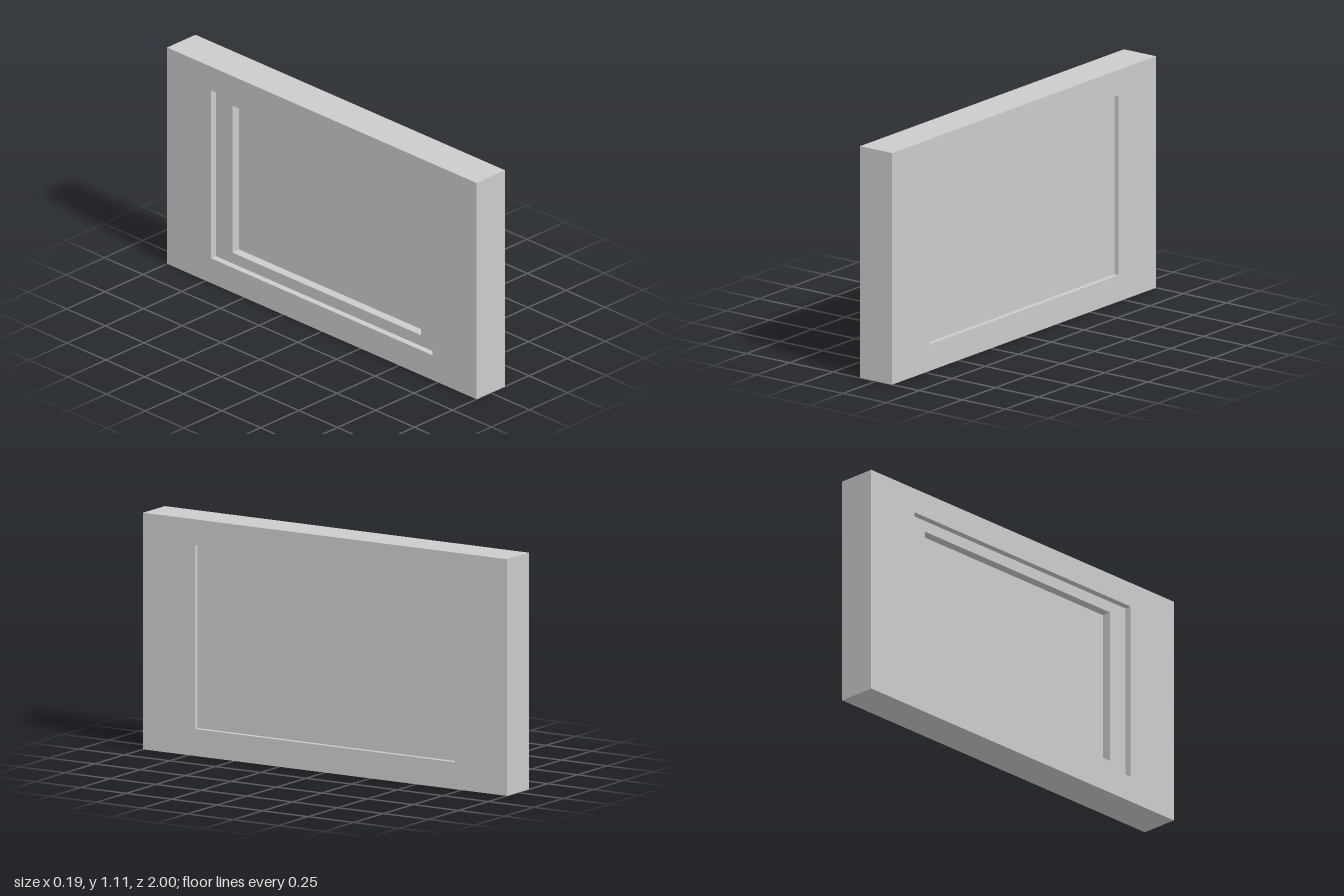
import * as THREE from 'three';

// Rectangular loops [x, half length in z, bottom y, top y], running from the
// floor of the +x recess, around the slab, to the floor of the stepped -x recess.
const loops = [
  [0.069, 0.715, 0.127, 0.99],  // shallow recess floor
  [0.093, 0.715, 0.127, 0.99],  // shallow recess rim
  [0.093, 1, 0, 1.11],          // slab edge, +x
  [-0.093, 1, 0, 1.11],         // slab edge, -x
  [-0.093, 0.715, 0.127, 0.99], // outer recess rim
  [-0.061, 0.715, 0.127, 0.99], // ledge, outer edge
  [-0.061, 0.61, 0.182, 0.936], // ledge, inner edge
  [-0.016, 0.61, 0.182, 0.936], // deep recess floor
];

function loftRectangles(rects) {
  const rings = rects.map(([x, z, y0, y1]) => [[x, y0, z], [x, y0, -z], [x, y1, -z], [x, y1, z]]);
  const pos = [];
  const quad = (a, b, c, d) => pos.push(...a, ...b, ...c, ...a, ...c, ...d);
  quad(...rings[0]);
  for (let k = 0; k < rings.length - 1; k++) {
    const a = rings[k], b = rings[k + 1];
    for (let i = 0; i < 4; i++) {
      const j = (i + 1) % 4;
      quad(b[i], b[j], a[j], a[i]);
    }
  }
  quad(...[...rings[rings.length - 1]].reverse());
  const geo = new THREE.BufferGeometry();
  geo.setAttribute('position', new THREE.Float32BufferAttribute(pos, 3));
  geo.computeVertexNormals();
  return geo;
}

export function createModel() {
  const group = new THREE.Group();
  group.name = 'recessedPanel';
  // Slab with a shallow recess on one side and a stepped recess on the other
  const slab = new THREE.Mesh(
    loftRectangles(loops),
    new THREE.MeshStandardMaterial({ color: 0xcccccc, flatShading: true })
  );
  slab.name = 'panelSlab';
  group.add(slab);
  return group;
}
